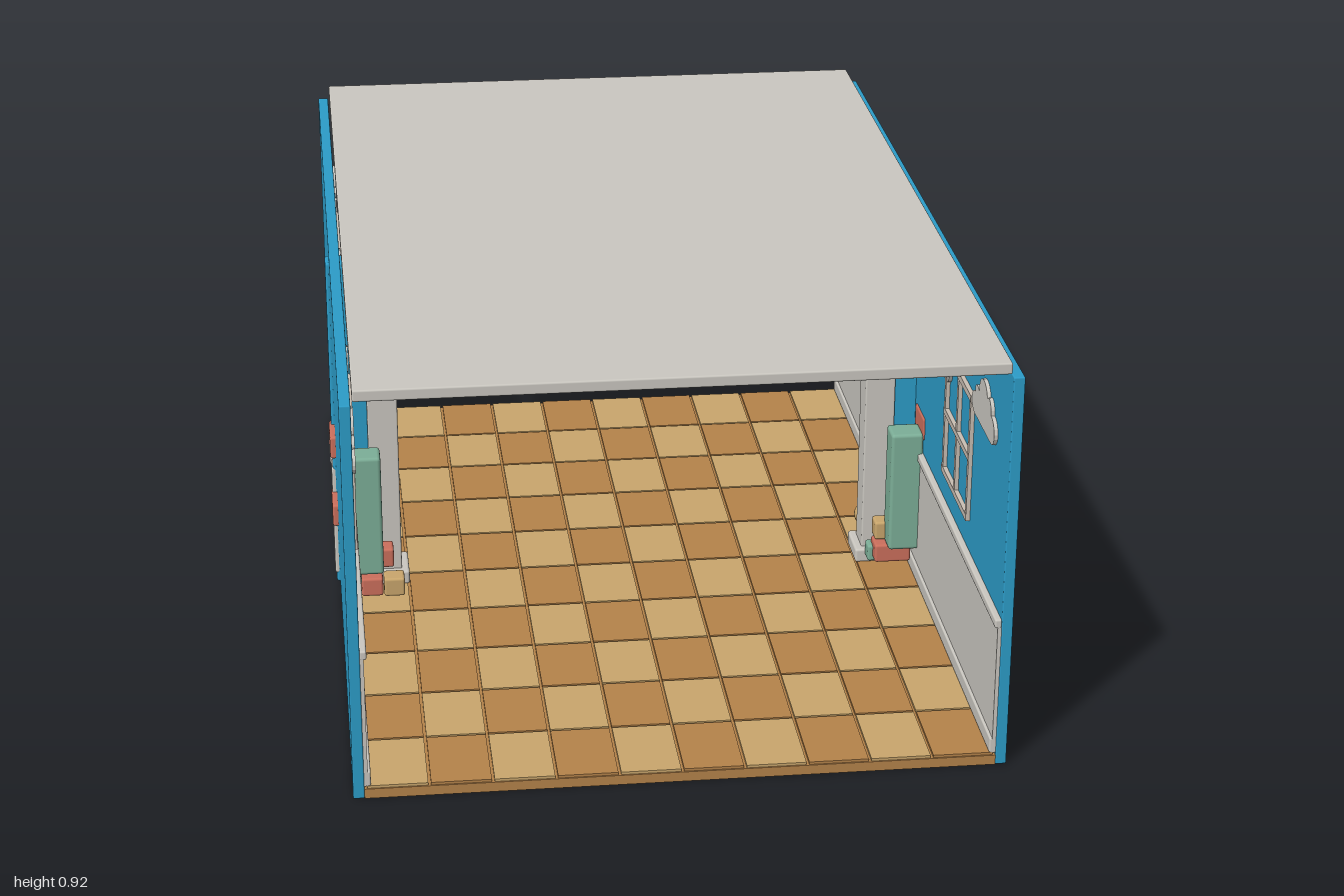
import * as THREE from 'three';
import { RoundedBoxGeometry } from 'three/addons/geometries/RoundedBoxGeometry.js';

const paint = (name, color) => {
  const m = new THREE.MeshStandardMaterial({ color });
  m.name = name;
  return m;
};

export function createModel() {
  const root = new THREE.Group();
  root.name = 'playroomHall';
  const blue = paint('wallBlue', 0x2c9cc8);
  const grey = paint('warmGrey', 0xcac7c0);
  const frame = paint('frameBeige', 0xc9beb2);
  const brown = paint('woodBrown', 0xb5834a);
  const tan = paint('woodTan', 0xc9a66c);
  const red = paint('softRed', 0xcb6f5c);
  const green = paint('softGreen', 0x7cae97);

  const add = (name, geo, mat, x = 0, y = 0, z = 0) => {
    const m = new THREE.Mesh(geo, mat);
    m.name = name;
    m.position.set(x, y, z);
    root.add(m);
    return m;
  };
  // box given by its limits; a radius rounds the edges
  const box = (name, mat, [x0, x1], [y0, y1], [z0, z1], r = 0) => {
    const w = Math.abs(x1 - x0), h = y1 - y0, d = z1 - z0;
    const geo = r ? new RoundedBoxGeometry(w, h, d, 2, r) : new THREE.BoxGeometry(w, h, d);
    return add(name, geo, mat, (x0 + x1) / 2, (y0 + y1) / 2, (z0 + z1) / 2);
  };

  // floor slab with chequered tiles
  box('floorSlab', brown, [-0.668, 0.668], [0, 0.022], [-1, 1]);
  const cols = 10, rows = 10, tw = 1.33 / cols, td = 2 / rows;
  for (let i = 0; i < cols; i++) {
    for (let j = 0; j < rows; j++) {
      const x = -0.665 + i * tw, z = -1 + j * td;
      box('floorTile', (i + j) % 2 ? tan : brown,
        [x + 0.003, x + tw - 0.003], [0.021, 0.028], [z + 0.003, z + td - 0.003]);
    }
  }

  // roof, floating just above the walls
  box('roof', grey, [-0.665, 0.665], [0.897, 0.922], [-1, 1], 0.004);

  // cross arch in the middle
  box('archLintel', grey, [-0.617, 0.617], [0.765, 0.832], [-0.037, 0.037], 0.004);
  box('archCap', grey, [-0.645, 0.645], [0.832, 0.855], [-0.055, 0.055], 0.006);

  // flat cloud outline
  const cloud = new THREE.Shape();
  cloud.moveTo(-0.085, -0.045);
  cloud.lineTo(0.085, -0.045);
  cloud.bezierCurveTo(0.125, -0.04, 0.12, 0.015, 0.075, 0.015);
  cloud.bezierCurveTo(0.075, 0.045, 0.045, 0.05, 0.035, 0.037);
  cloud.bezierCurveTo(0.02, 0.075, -0.05, 0.07, -0.045, 0.022);
  cloud.bezierCurveTo(-0.08, 0.035, -0.09, 0.01, -0.08, 0.005);
  cloud.bezierCurveTo(-0.12, 0.005, -0.125, -0.04, -0.085, -0.045);
  const cloudGeo = new THREE.ExtrudeGeometry(cloud, { depth: 0.009, bevelEnabled: false, curveSegments: 8 });

  for (const s of [1, -1]) {
    const X = (a, b) => [s * a, s * b];
    // wall with panelling
    box('wall', blue, X(0.668, 0.692), [0, 0.89], [-1, 1], 0.003);
    box('wainscot', grey, X(0.66, 0.669), [0.028, 0.325], [-0.998, 0.998]);
    box('wainscotRail', grey, X(0.654, 0.669), [0.322, 0.342], [-0.998, 0.998], 0.004);
    box('baseboard', grey, X(0.654, 0.669), [0.027, 0.062], [-0.998, 0.998], 0.004);

    // arch post, its foot and the blue pilaster behind it
    box('archPost', grey, X(0.547, 0.617), [0.03, 0.77], [-0.037, 0.037], 0.004);
    box('postFoot', grey, X(0.53, 0.645), [0.026, 0.06], [-0.055, 0.055], 0.006);
    box('pilaster', blue, X(0.613, 0.7), [0.027, 0.827], [-0.027, 0.027], 0.006);
    box('pilasterPanel', grey, X(0.65, 0.703), [0.05, 0.32], [-0.03, 0.027], 0.005);

    // pegs through the wall
    const o = s > 0 ? 0 : -0.045;
    for (const y of [0.232, 0.403]) {
      box('redPeg', red, X(0.664, 0.705), [y - 0.027, y + 0.027], [0.043 + o, 0.146 + o], 0.006);
    }
    box('greyPeg', grey, X(0.664, 0.705), [0.302, 0.355], [-0.093 + o, 0.01 + o], 0.006);
    add('pegKnob', new THREE.SphereGeometry(0.008, 10, 8), red, s * 0.693, 0.128, -0.092);

    for (const f of [1, -1]) {
      const Z = (a, b) => (f > 0 ? [a, b] : [-b, -a]);
      // padded panel beside the arch
      box('greenPad', green, X(0.592, 0.667), [0.097, 0.392], Z(0.075, 0.144), 0.008);

      // window frame with crossbars
      const bars = [[0.41, 0.425], [0.552, 0.566], [0.69, 0.705]];
      for (const b of bars) box('windowBar', frame, X(0.658, 0.669), b, Z(0.385, 0.655));
      for (const z of [0.385, 0.513, 0.641]) {
        box('windowPost', frame, X(0.659, 0.669), [0.41, 0.705], Z(z, z + 0.014));
      }
      // clouds either side of the window
      for (const [y, z] of [[0.725, 0.77], [0.675, 0.31]]) {
        const c = add('cloud', cloudGeo, grey, s * 0.66, y, f * z);
        c.rotation.y = s * -Math.PI / 2;
        c.position.x = s * 0.669;
      }
    }
  }

  // toy blocks at the foot of the arch
  const toys = [
    ['toyBlock', red, [-0.645, -0.595], [0.045, 0.09], [0.1, 0.15]],
    ['toyBlock', tan, [-0.593, -0.545], [0.045, 0.09], [0.105, 0.155]],
    ['toyBlock', red, [-0.617, -0.567], [0.093, 0.14], [0.05, 0.1]],
    ['toyBlock', green, [-0.662, -0.643], [0.045, 0.088], [0.09, 0.13]],
    ['toyBlock', red, [0.565, 0.65], [0.055, 0.1], [0.06, 0.12]],
    ['toyBlock', tan, [0.568, 0.615], [0.102, 0.147], [0.05, 0.095]],
    ['toyBlock', green, [0.553, 0.572], [0.045, 0.085], [0.05, 0.09]],
    ['toyBlock', red, [0.58, 0.6], [0.18, 0.22], [-0.115, -0.09]],
    ['toyBlock', red, [-0.64, -0.59], [0.045, 0.09], [-0.14, -0.09]],
  ];
  for (const [n, m, x, y, z] of toys) box(n, m, x, y, z, 0.006);
  add('toyBall', new THREE.SphereGeometry(0.03, 20, 14), tan, 0.585, 0.075, -0.11);

  return root;
}
